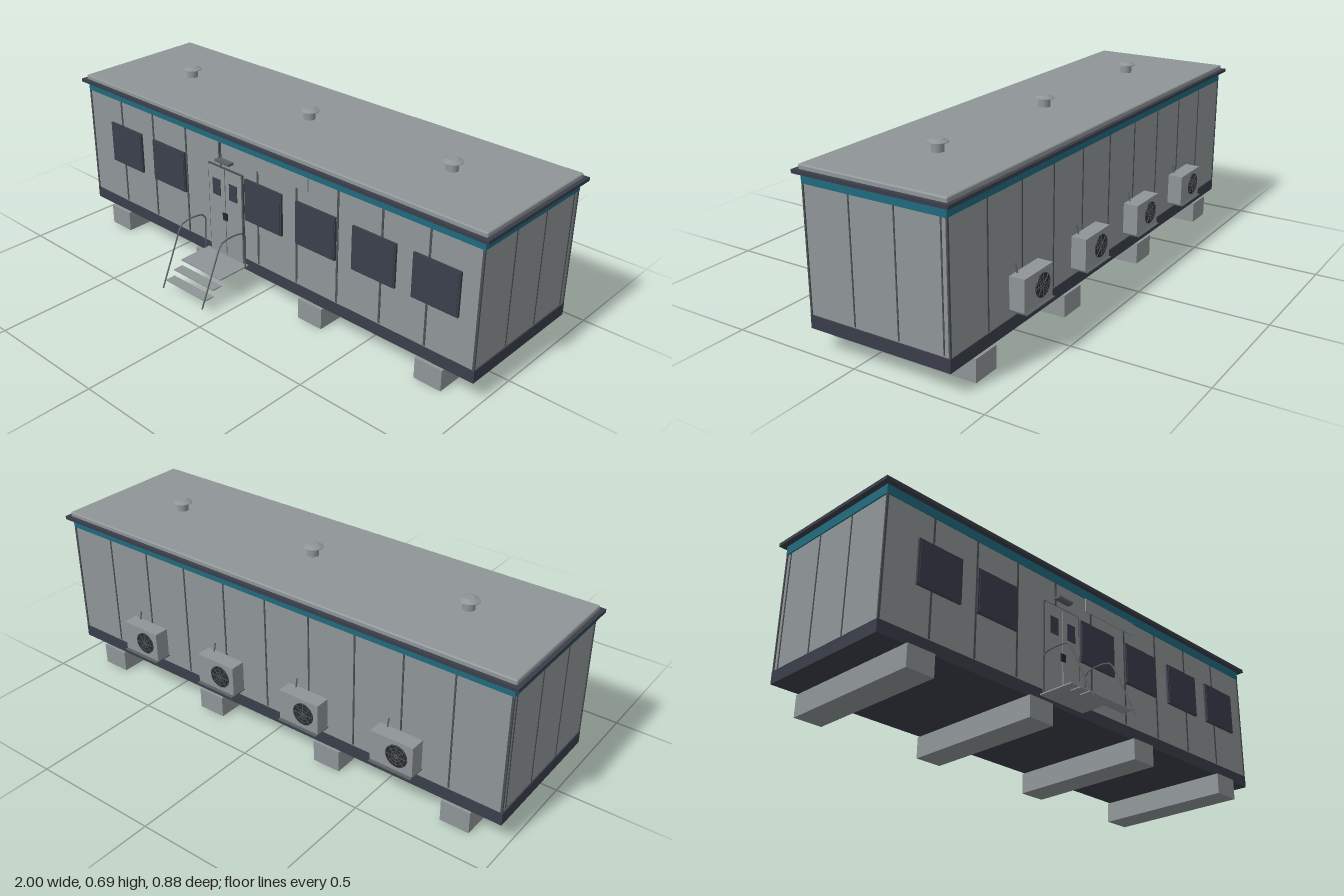
import * as THREE from 'three';
import { RoundedBoxGeometry } from 'three/addons/geometries/RoundedBoxGeometry.js';

export function createModel() {
  const model = new THREE.Group();
  model.name = 'portableBuilding';
  const mat = (name, color) => {
    const m = new THREE.MeshStandardMaterial({ color });
    m.name = name;
    return m;
  };
  const grey = mat('panel grey', 0x8f9597);
  const dark = mat('dark trim', 0x3a3e4a);
  const teal = mat('teal band', 0x1f6a7e);
  const seamGrey = mat('seam grey', 0x4c5054);
  const glass = mat('window glass', 0x3a3f4b);
  const black = mat('fan black', 0x24272b);
  const railGrey = mat('rail grey', 0x5c6164);

  const add = (name, geometry, material, parent = model) => {
    const m = new THREE.Mesh(geometry, material);
    m.name = name;
    parent.add(m);
    return m;
  };
  // Box given by its minimum and maximum on each axis
  const box = (name, x0, x1, y0, y1, z0, z1, material, parent = model) => {
    const m = add(name, new THREE.BoxGeometry(x1 - x0, y1 - y0, z1 - z0), material, parent);
    m.position.set((x0 + x1) / 2, (y0 + y1) / 2, (z0 + z1) / 2);
    return m;
  };
  const group = (name, parent = model) => {
    const g = new THREE.Group();
    g.name = name;
    parent.add(g);
    return g;
  };
  const front = 0.193, back = -0.366;

  // Shell, base skirt, coloured band and roof
  box('walls', -0.975, 0.975, 0.13, 0.58, back + 0.003, front - 0.003, grey);
  box('baseSkirt', -0.98, 0.98, 0.083, 0.13, back, front, dark);
  box('roofBand', -0.98, 0.98, 0.58, 0.615, back, front, teal);
  box('cornice', -1, 1, 0.615, 0.628, -0.387, 0.213, dark);
  const roof = add('roofSlab', new RoundedBoxGeometry(1.97, 0.03, 0.57, 2, 0.006), grey);
  roof.position.set(0, 0.63, -0.087);

  // Foundation beams
  for (const x of [-0.815, -0.28, 0.275, 0.81])
    box('foundationBeam', x - 0.056, x + 0.056, 0, 0.083, -0.377, 0.207, grey);

  // Panel seams on long walls and ends, and corner posts
  const seams = group('panelSeams');
  for (let i = -4; i <= 4; i++) {
    const x = i * 0.194;
    box('frontSeam', x - 0.004, x + 0.004, 0.135, 0.58, front - 0.004, front - 0.001, seamGrey, seams);
    box('backSeam', x - 0.003, x + 0.003, 0.135, 0.58, back + 0.001, back + 0.004, seamGrey, seams);
  }
  for (const side of [-1, 1]) {
    for (const z of [0.007, -0.168, -0.341])
      box('endSeam', side * 0.975 - 0.002, side * 0.975 + 0.002, 0.135, 0.58, z - 0.0025, z + 0.0025, seamGrey, seams);
    for (const z of [front - 0.003, back + 0.003])
      box('cornerPost', side * 0.975 - 0.004, side * 0.975 + 0.004, 0.13, 0.58, z - 0.003, z + 0.003, seamGrey, seams);
  }

  // Front windows with a slim frame
  for (const x of [-0.747, -0.487, 0.032, 0.288, 0.552, 0.81]) {
    const w = group('window');
    box('windowFrame', x - 0.094, x + 0.094, 0.304, 0.474, front - 0.004, front + 0.006, dark, w);
    box('windowPane', x - 0.088, x + 0.088, 0.31, 0.468, front + 0.005, front + 0.008, glass, w);
  }
  // Blank board above the windows
  box('wallBoard', -0.03, 0.25, 0.525, 0.58, front - 0.003, front + 0.002, grey);

  // Double door
  const door = group('door');
  box('doorFrame', -0.257, -0.073, 0.105, 0.482, front - 0.004, front + 0.004, seamGrey, door);
  for (const side of [-1, 1]) {
    const x = -0.165 + side * 0.0445;
    box('doorLeaf', x - 0.0425, x + 0.0425, 0.108, 0.477, front, front + 0.007, grey, door);
    box('doorWindow', x - 0.021, x + 0.021, 0.36, 0.428, front + 0.005, front + 0.009, glass, door);
  }
  box('doorLock', -0.177, -0.153, 0.266, 0.295, front + 0.004, front + 0.012, black, door);

  // Lamp over the door with its cable
  box('doorLamp', -0.2, -0.125, 0.508, 0.518, front - 0.002, 0.216, railGrey);
  box('lampCable', -0.2, -0.194, 0.508, 0.58, front - 0.003, front + 0.003, seamGrey);

  // Landing, treads and handrails
  const stairs = group('entranceStairs');
  box('landing', -0.275, -0.055, 0.103, 0.108, front - 0.002, 0.34, grey, stairs);
  box('upperTread', -0.275, -0.055, 0.076, 0.08, 0.336, 0.379, grey, stairs);
  box('lowerTread', -0.275, -0.055, 0.048, 0.052, 0.378, 0.421, grey, stairs);
  const railPoints = [[0.022, 0.437], [0.235, 0.343], [0.258, 0.325], [0.265, 0.295],
    [0.265, 0.262], [0.26, 0.225], [0.24, 0.206], [0.106, 0.21]];
  for (const x of [-0.275, -0.055]) {
    const path = new THREE.CurvePath();
    for (let i = 1; i < railPoints.length; i++) {
      const [a, b] = [railPoints[i - 1], railPoints[i]];
      path.add(new THREE.LineCurve3(new THREE.Vector3(x, ...a), new THREE.Vector3(x, ...b)));
    }
    add('handrail', new THREE.TubeGeometry(path, 60, 0.003, 6), railGrey, stairs);
  }

  // Roof vents: stem and flared cap
  const ventProfile = [[0, 0.64], [0.022, 0.64], [0.022, 0.676], [0.037, 0.677], [0.037, 0.679],
    [0.018, 0.688], [0, 0.688]];
  for (const x of [-0.65, 0, 0.65]) {
    const v = group('roofVent');
    v.position.set(x, 0, -0.088);
    // Separate bands keep the profile edges sharp
    for (let i = 1; i < ventProfile.length; i++) {
      const pts = ventProfile.slice(i - 1, i + 1).map(p => new THREE.Vector2(...p));
      add('ventSurface', new THREE.LatheGeometry(pts, 24), grey, v);
    }
  }

  // Air conditioners on the back wall
  for (const x of [-0.588, -0.197, 0.193, 0.583]) {
    const ac = group('airConditioner');
    ac.position.x = x;
    box('cabinet', -0.085, 0.085, 0.168, 0.285, -0.428, -0.37, grey, ac);
    box('shelf', -0.085, 0.085, 0.162, 0.166, -0.438, back, railGrey, ac);
    const fan = group('fan', ac);
    fan.position.set(-0.022, 0.227, -0.428);
    const disc = add('fanOpening', new THREE.CylinderGeometry(0.043, 0.043, 0.004, 28), black, fan);
    disc.rotation.x = Math.PI / 2;
    for (const r of [0.019, 0.031, 0.042]) {
      const ring = add('fanGuardRing', new THREE.TorusGeometry(r, 0.0012, 5, 28), seamGrey, fan);
      ring.position.z = -0.003;
    }
    const hub = add('fanHub', new THREE.CylinderGeometry(0.009, 0.009, 0.004, 16), seamGrey, fan);
    hub.rotation.x = Math.PI / 2;
    hub.position.z = -0.002;
    for (let i = 0; i < 4; i++) {
      const bar = add('fanGuardBar', new THREE.BoxGeometry(0.084, 0.003, 0.002), seamGrey, fan);
      bar.rotation.z = i * Math.PI / 4;
      bar.position.z = -0.003;
    }
    const pipePath = new THREE.LineCurve3(new THREE.Vector3(0.05, 0.283, -0.378), new THREE.Vector3(0.05, 0.318, -0.37));
    add('pipe', new THREE.TubeGeometry(pipePath, 1, 0.003, 6), railGrey, ac);
  }
  return model;
}
